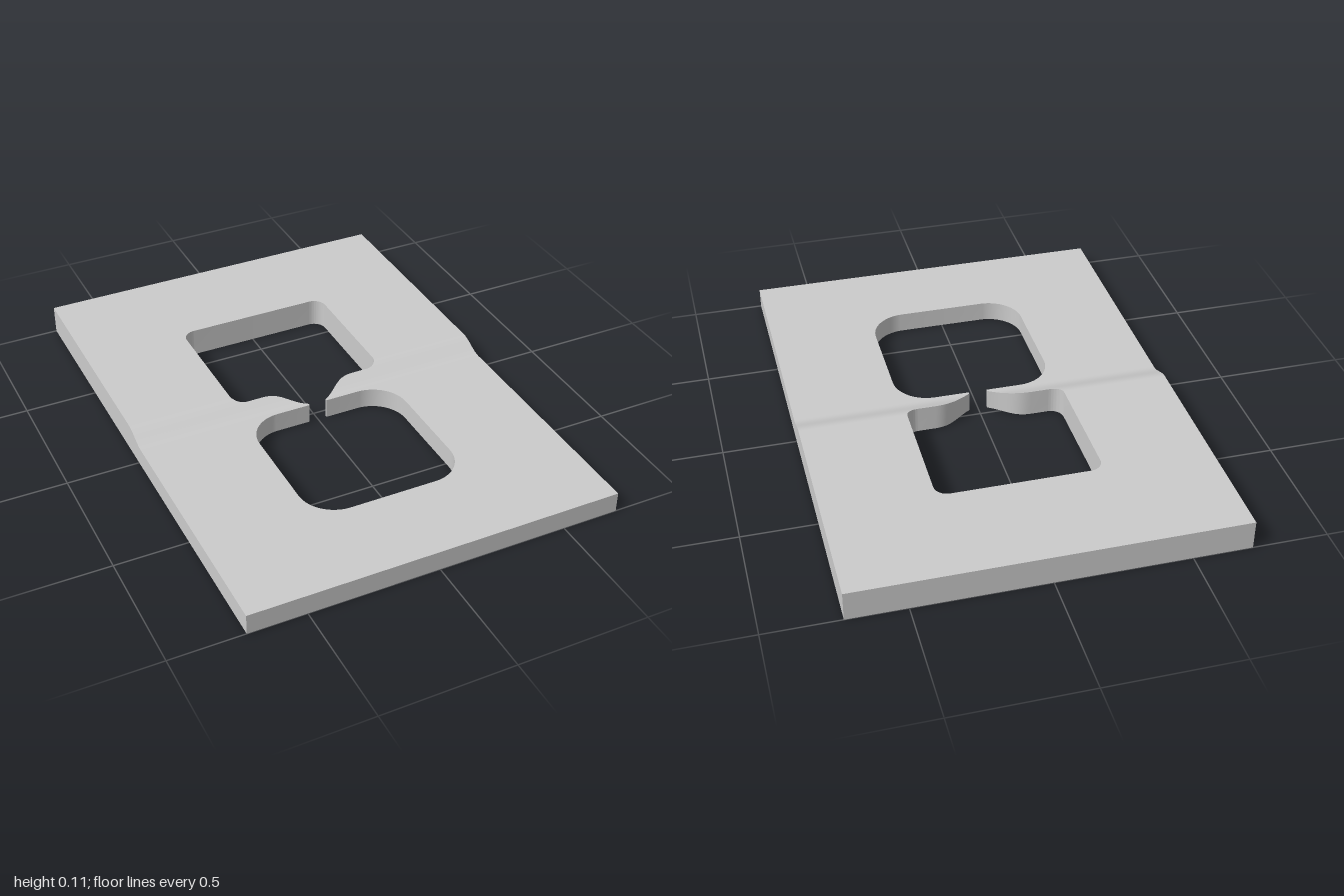
import * as THREE from 'three';
import { toCreasedNormals } from 'three/addons/utils/BufferGeometryUtils.js';

const HALF_WIDTH = 0.72, HALF_LENGTH = 1;
const LOW = 0.079, HIGH = 0.113;

// Height of the top skin: low in front, a smooth ramp, high at the back
const height = (z) => LOW + (HIGH - LOW) * THREE.MathUtils.smoothstep(-z, -0.03, 0.09);

// Right half of the opening, running from back to front
function openingHalf() {
  const path = new THREE.Path();
  path.moveTo(0, -0.585);
  path.lineTo(0.26, -0.585);
  path.absarc(0.26, -0.535, 0.05, -Math.PI / 2, 0, false);
  path.lineTo(0.308, -0.1);
  path.absarc(0.258, -0.1, 0.05, 0, Math.PI / 2, false);
  path.lineTo(0.19, -0.05);
  path.bezierCurveTo(0.12, -0.05, 0.1, -0.005, 0.036, 0.033);
  path.lineTo(0.036, 0.042);
  path.lineTo(0.17, 0.042);
  path.absarc(0.17, 0.18, 0.138, -Math.PI / 2, 0, false);
  path.lineTo(0.308, 0.52);
  path.absarc(0.17, 0.52, 0.138, 0, Math.PI / 2, false);
  path.lineTo(0, 0.658);
  return path.getPoints(12);
}

function makeGeometry(positions, index) {
  const geometry = new THREE.BufferGeometry();
  geometry.setAttribute('position', new THREE.Float32BufferAttribute(positions, 3));
  geometry.setIndex(index);
  return geometry;
}

// Top skin: strips between the opening and the outer edge on both sides
function skinGeometry(rows) {
  const positions = [], index = [];
  for (const side of [-1, 1]) {
    const base = positions.length / 3;
    rows.forEach((p, i) => {
      const xs = side < 0 ? [-HALF_WIDTH, -p.x] : [p.x, HALF_WIDTH];
      for (const x of xs) positions.push(x, height(p.y), p.y);
      if (i === 0) return;
      const a = base + 2 * (i - 1);
      index.push(a, a + 2, a + 1, a + 1, a + 2, a + 3);
    });
  }
  const geometry = makeGeometry(positions, index);
  geometry.computeVertexNormals();
  return geometry;
}

// Vertical wall from the skin down to the ground along a closed loop
function wallGeometry(points) {
  const loop = points.filter((p, i) => p.distanceTo(points[(i + 1) % points.length]) > 1e-5);
  loop.push(loop[0]);
  const positions = [], index = [];
  loop.forEach((p, i) => {
    positions.push(p.x, height(p.y), p.y, p.x, 0, p.y);
    if (i === 0) return;
    const a = 2 * (i - 1);
    index.push(a, a + 1, a + 2, a + 2, a + 1, a + 3);
  });
  return toCreasedNormals(makeGeometry(positions, index), 0.6);
}

export function createModel() {
  const group = new THREE.Group();
  group.name = 'steppedPlate';
  const material = new THREE.MeshStandardMaterial({ color: 0xcccccc, side: THREE.DoubleSide });
  const add = (name, geometry) => {
    const mesh = new THREE.Mesh(geometry, material);
    mesh.name = name;
    group.add(mesh);
  };
  const mirror = (points) => points.map((p) => new THREE.Vector2(-p.x, p.y)).reverse();

  const half = openingHalf();
  const rows = [new THREE.Vector2(0, -HALF_LENGTH), ...half, new THREE.Vector2(0, HALF_LENGTH)];
  add('topSkin', skinGeometry(rows));

  // Wall around the joined openings
  add('openingWall', wallGeometry([...half, ...mirror(half)]));

  // Outer rim, stepping with the skin along both long sides
  const rightEdge = rows.map((p) => new THREE.Vector2(HALF_WIDTH, p.y)).reverse();
  add('outerRim', wallGeometry([...rightEdge, ...mirror(rightEdge)]));

  return group;
}
